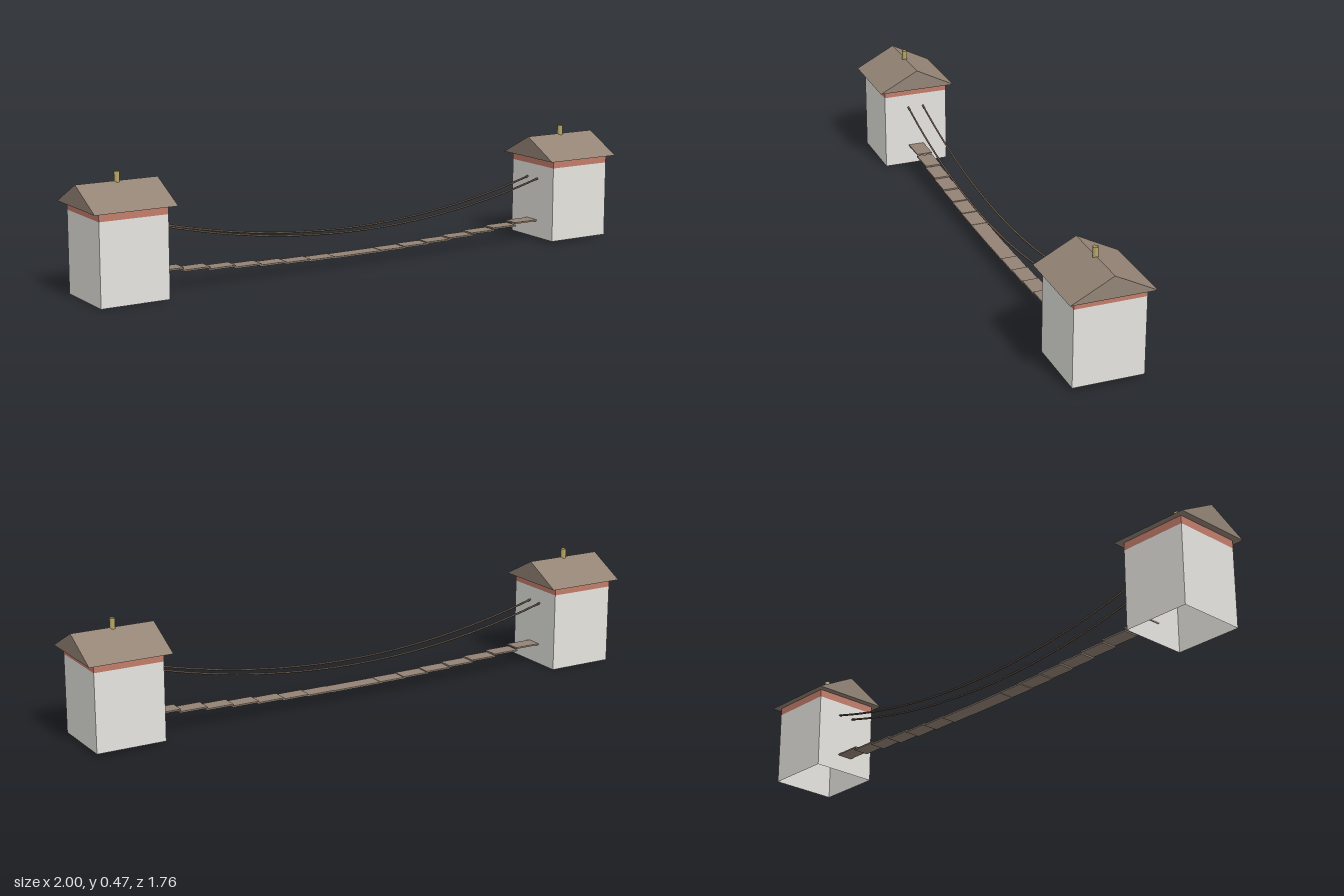
import * as THREE from 'three';

const mat = (name, color, side = THREE.FrontSide) => {
  const m = new THREE.MeshStandardMaterial({ color, side });
  m.name = name;
  return m;
};

export function createModel() {
  const plaster = mat('plaster', 0xe5e4df, THREE.DoubleSide);
  const wood = mat('wood brown', 0x938375);
  const brick = mat('brick', 0xc27c6a);
  const cable = mat('cable brown', 0x665649);
  const brass = mat('brass', 0xb8a868, THREE.DoubleSide);

  const model = new THREE.Group();
  model.name = 'bridgeWithTowers';
  const span = new THREE.Group(); // runs along its own x, turned diagonally
  span.name = 'span';
  span.rotation.y = 0.704;
  model.add(span);

  const add = (parent, name, geometry, material, x = 0, y = 0, z = 0) => {
    const mesh = new THREE.Mesh(geometry, material);
    mesh.name = name;
    mesh.position.set(x, y, z);
    parent.add(mesh);
    return mesh;
  };

  const wall = 0.273, roofLength = 0.327, roofHalf = 0.162;
  const wallTop = 0.315, eave = 0.346, ridge = 0.43;
  const houseX = 1.008;

  // Gable roof section, extruded along the span
  const gable = new THREE.Shape();
  gable.moveTo(-roofHalf, 0);
  gable.lineTo(roofHalf, 0);
  gable.lineTo(0, ridge - eave);
  gable.closePath();
  const roofGeometry = new THREE.ExtrudeGeometry(gable, { depth: roofLength, bevelEnabled: false });
  roofGeometry.translate(0, 0, -roofLength / 2);
  roofGeometry.rotateY(Math.PI / 2);

  // Four walls without floor or ceiling
  const wallsGeometry = (height) => {
    const g = new THREE.CylinderGeometry(wall / Math.SQRT2, wall / Math.SQRT2, height, 4, 1, true);
    g.rotateY(Math.PI / 4);
    const flat = g.toNonIndexed();
    flat.computeVertexNormals();
    return flat;
  };

  // Two end towers
  for (const [name, x, base] of [['rightTower', -houseX, 0], ['leftTower', houseX, 0.011]]) {
    const tower = new THREE.Group();
    tower.name = name;
    tower.position.x = x;
    span.add(tower);
    add(tower, 'walls', wallsGeometry(wallTop - base), plaster, 0, (wallTop + base) / 2);
    add(tower, 'brickBand', new THREE.BoxGeometry(wall, eave - wallTop, wall), brick, 0, (wallTop + eave) / 2);
    add(tower, 'roof', roofGeometry, wood, 0, eave);
    add(tower, 'finial', new THREE.CylinderGeometry(0.011, 0.011, 0.05, 8, 1, true), brass, 0, ridge + 0.01);
  }

  // Sagging deck of level planks
  const reach = houseX - wall / 2;
  const sag = (x, low, rise) => low + rise * (x / reach) ** 2;
  const count = 16, pitch = (reach * 2) / count, width = 0.065;
  const deck = new THREE.Group();
  deck.name = 'deck';
  span.add(deck);
  const plankGeometry = new THREE.BoxGeometry(pitch + 0.005, 0.006, width);
  for (let i = 0; i < count; i++) {
    const x = -reach + pitch * (i + 0.5);
    add(deck, 'plank', plankGeometry, wood, x, sag(x, 0.042, 0.045));
  }

  // Hand cables on both sides
  const points = [];
  for (let i = 0; i <= 16; i++) {
    const x = -reach + (reach * 2 * i) / 16;
    points.push(new THREE.Vector3(x, sag(x, 0.138, 0.12), 0));
  }
  const cableGeometry = new THREE.TubeGeometry(new THREE.CatmullRomCurve3(points), 40, 0.004, 6);
  for (const side of [-1, 1]) add(span, 'handCable', cableGeometry, cable, 0, 0, side * width / 2);

  return model;
}
